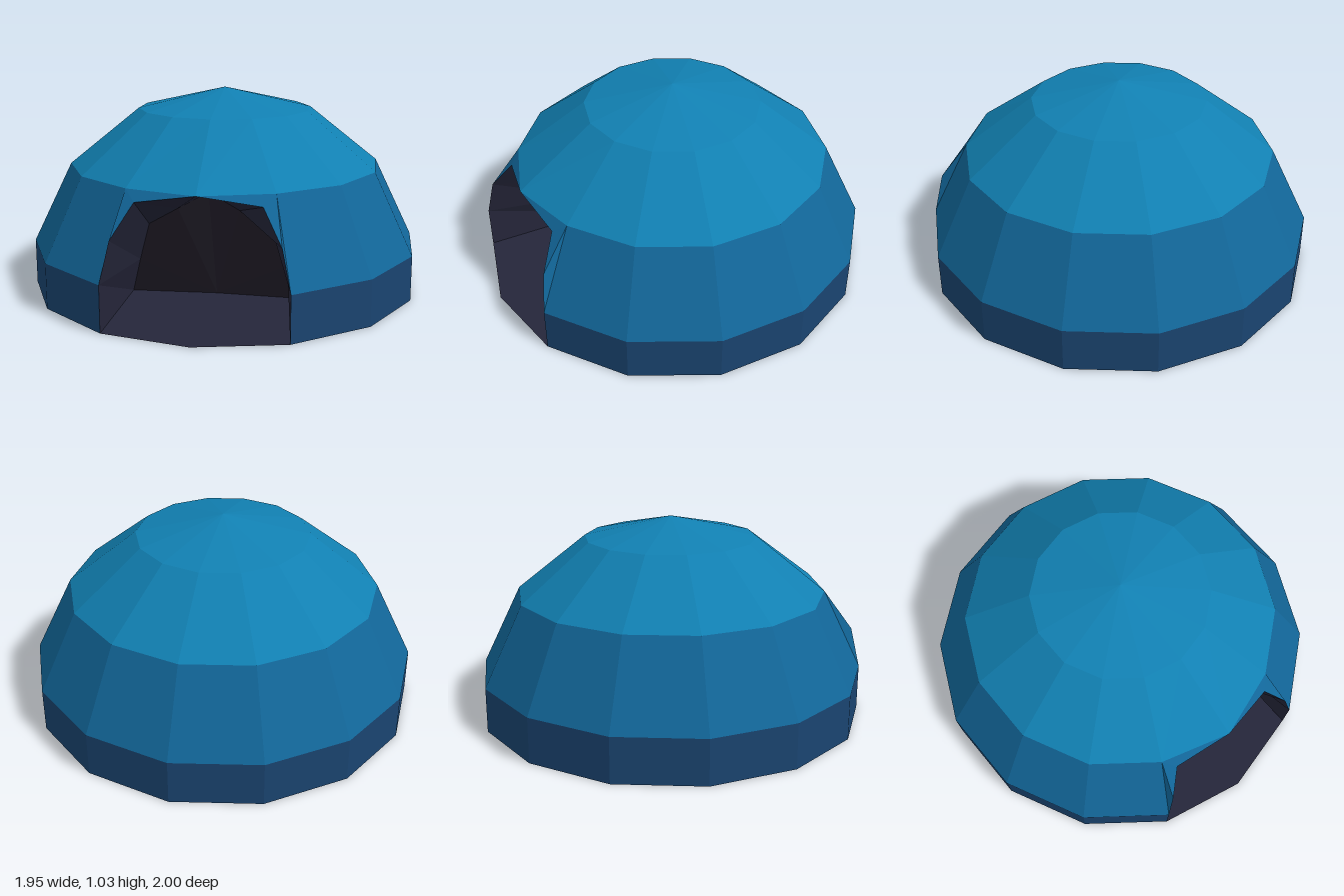
import * as THREE from 'three';

const SIDES = 14;
const STEP = (Math.PI * 2) / SIDES;

// Builds a faceted mesh from convex polygons (fan triangulated)
function facets(name, polys, color) {
  const pos = [];
  for (const p of polys) {
    for (let i = 1; i < p.length - 1; i++) pos.push(...p[0], ...p[i], ...p[i + 1]);
  }
  const geo = new THREE.BufferGeometry();
  geo.setAttribute('position', new THREE.Float32BufferAttribute(pos, 3));
  geo.computeVertexNormals();
  const mat = new THREE.MeshStandardMaterial({ color, flatShading: true, side: THREE.DoubleSide });
  const mesh = new THREE.Mesh(geo, mat);
  mesh.name = name;
  return mesh;
}

// Point on a dome ring, k steps round from the front
const at = (r, y, k) => [r * Math.sin(k * STEP), y, r * Math.cos(k * STEP)];
const mirror = ([x, y, z]) => [-x, y, z];
const arch = (half) => [...half, ...half.slice(0, -1).reverse().map(mirror)];

export function createModel() {
  const group = new THREE.Group();
  group.name = 'domeTent';

  // Dome rings: radius and height
  const rings = [[1, 0], [1, 0.23], [0.8, 0.64], [0.445, 0.925], [0, 1.03]];
  const bands = [
    ['skirt', 0x1a4470],
    ['lowerWall', 0x12679a],
    ['upperWall', 0x1180b2],
    ['roofCap', 0x1180b2],
  ];
  const peak = [0, 0.64, 0.83]; // front edge of the canopy
  const ringPoint = (i, k) => (i === 2 && k % SIDES === 0 ? peak : at(...rings[i], k));

  // Doorway arch, from base to peak on the left side
  const door = [at(1, 0, 1), at(1, 0.23, 1), [0.39, 0.43, 0.87], [0.295, 0.59, 0.78], peak];
  const eave = at(0.8, 0.64, 1);

  bands.forEach(([name, color], i) => {
    const polys = [];
    for (let k = 0; k < SIDES; k++) {
      const open = i < 2 && (k === 0 || k === SIDES - 1);
      if (open) continue;
      const [a, b, c, d] = [ringPoint(i, k), ringPoint(i, k + 1), ringPoint(i + 1, k + 1), ringPoint(i + 1, k)];
      polys.push([a, b, c], [a, c, d]);
    }
    // Hood panels filling between the door arch and the dome
    if (i === 1) {
      for (let j = 1; j < 4; j++) {
        polys.push([door[j], eave, door[j + 1]]);
        polys.push([mirror(door[j + 1]), mirror(eave), mirror(door[j])]);
      }
    }
    group.add(facets(name, polys, color));
  });

  // Inner chamber: walls run from the door arch to a leaning back wall
  const back = [[0.434, 0, 0.28], [0.37, 0.2, 0.38], [0.3, 0.41, 0.47], [0.15, 0.5, 0.5], [0, 0.585, 0.5]];
  const front = arch(door);
  const rear = arch(back);
  const lining = [];
  for (let j = 0; j < front.length - 1; j++) {
    lining.push([front[j], front[j + 1], rear[j + 1]], [front[j], rear[j + 1], rear[j]]);
  }
  group.add(facets('innerWalls', lining, 0x25263a));

  const mid = [0, 0, 0.26];
  const backWall = rear.slice(0, -1).map((p, j) => [mid, p, rear[j + 1]]);
  group.add(facets('backWall', backWall, 0x24202c));

  // Floor of the chamber, reaching out to the front rim
  const rim = (k) => at(1, 0, k);
  const floor = [
    [mid, back[0], rim(1), rim(0)],
    [mid, rim(0), rim(-1), mirror(back[0])],
    [back[0], rim(2), rim(1)],
    [mirror(back[0]), rim(-1), rim(-2)],
  ];
  group.add(facets('chamberFloor', floor, 0x25263a));

  // Underside of the rest of the dome
  const base = [
    [mid, rim(SIDES / 2), back[0]],
    [mid, mirror(back[0]), rim(SIDES / 2)],
  ];
  for (let k = 2; k < SIDES / 2; k++) {
    base.push([back[0], rim(k + 1), rim(k)]);
    base.push([mirror(back[0]), rim(-k), rim(-k - 1)]);
  }
  group.add(facets('groundsheet', base, 0x2a5058));

  return group;
}
